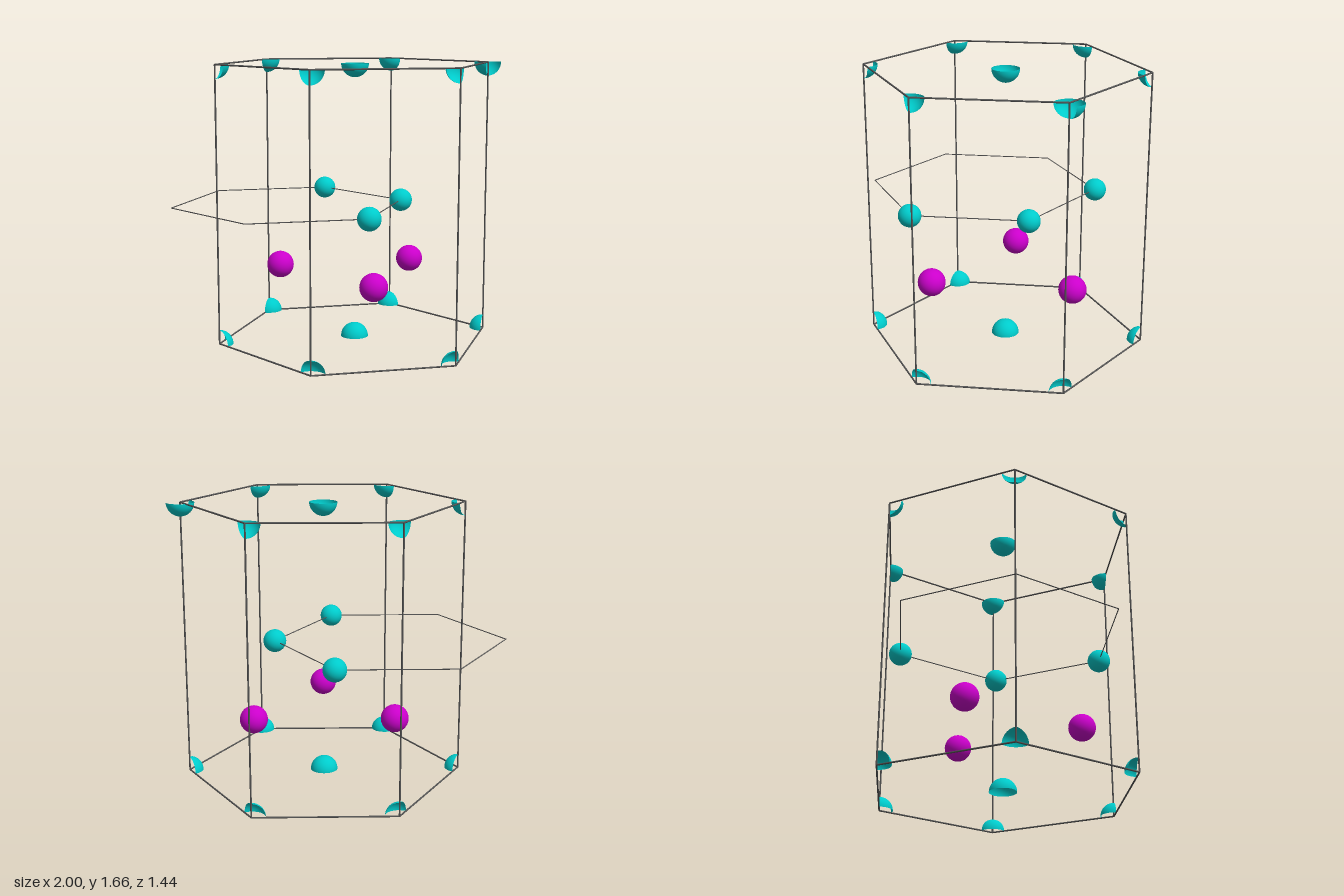
import * as THREE from 'three';

export function createModel() {
  const model = new THREE.Group();
  const mat = (name, color, side = THREE.FrontSide) => {
    const m = new THREE.MeshStandardMaterial({ color, side });
    m.name = name;
    return m;
  };
  const teal = mat('teal', 0x00cccc, THREE.DoubleSide);
  const magenta = mat('magenta', 0xcc00cc);
  const grey = mat('grey', 0x555555);

  const CX = 0.09, SIDE = 0.825, BOTTOM = 0.006, TOP = 1.658, R = 0.082;
  const MID = (BOTTOM + TOP) / 2;

  const add = (name, geometry, material, position) => {
    const mesh = new THREE.Mesh(geometry, material);
    mesh.name = name;
    mesh.position.copy(position);
    model.add(mesh);
    return mesh;
  };

  // Thin round rod between two points
  const rod = (name, a, b, r) => {
    const dir = b.clone().sub(a);
    const mesh = add(name, new THREE.CylinderGeometry(r, r, dir.length(), 8), grey,
      a.clone().add(b).multiplyScalar(0.5));
    mesh.quaternion.setFromUnitVectors(new THREE.Vector3(0, 1, 0), dir.normalize());
  };

  const hexagon = (cx, y, cz, r) => Array.from({ length: 6 }, (_, i) => new THREE.Vector3(
    cx + r * Math.cos(i * Math.PI / 3), y, cz + r * Math.sin(i * Math.PI / 3)));
  const outline = (name, pts, r) => pts.forEach((p, i) => rod(name, p, pts[(i + 1) % 6], r));

  // Open shell: a sector of the upper or lower half of a sphere
  const shell = (name, pos, upper, phi, sweep) => add(name,
    new THREE.SphereGeometry(R, 32, 12, phi, sweep, upper ? 0 : Math.PI / 2, Math.PI / 2), teal, pos);

  // Prism frame
  const lower = hexagon(CX, BOTTOM, 0, SIDE);
  const upper = hexagon(CX, TOP, 0, SIDE);
  outline('bottomEdge', lower, 0.005);
  outline('topEdge', upper, 0.005);
  lower.forEach((p, i) => rod('uprightEdge', p, upper[i], 0.005));

  // Corner shells, cut to the prism; the one at the top left corner is wider
  for (let i = 0; i < 6; i++) {
    const phi = -(i + 1) * Math.PI / 3;
    shell('bottomCornerAtom', lower[i], true, phi, 2 * Math.PI / 3);
    if (i === 0) shell('wideTopCornerAtom', upper[i], false, -Math.PI, 4 * Math.PI / 3);
    else shell('topCornerAtom', upper[i], false, phi, 2 * Math.PI / 3);
  }

  // Half spheres in the middle of each end
  shell('bottomCentreAtom', new THREE.Vector3(CX, BOTTOM, 0), true, 0, 2 * Math.PI);
  shell('topCentreAtom', new THREE.Vector3(CX, TOP, 0), false, 0, 2 * Math.PI);

  // Offset middle hexagon with three whole spheres
  const middle = hexagon(-0.309, MID, -0.021, 0.69);
  outline('middleEdge', middle, 0.003);
  for (const i of [0, 1, 5]) add('middleAtom', new THREE.SphereGeometry(0.068, 32, 20), teal, middle[i]);

  // Inner triangle of spheres
  for (const [x, z] of [[CX - 0.4125, -0.247], [CX + 0.4125, -0.247], [CX, 0.47]]) {
    add('innerAtom', new THREE.SphereGeometry(R, 32, 20), magenta, new THREE.Vector3(x, 0.418, z));
  }
  return model;
}
